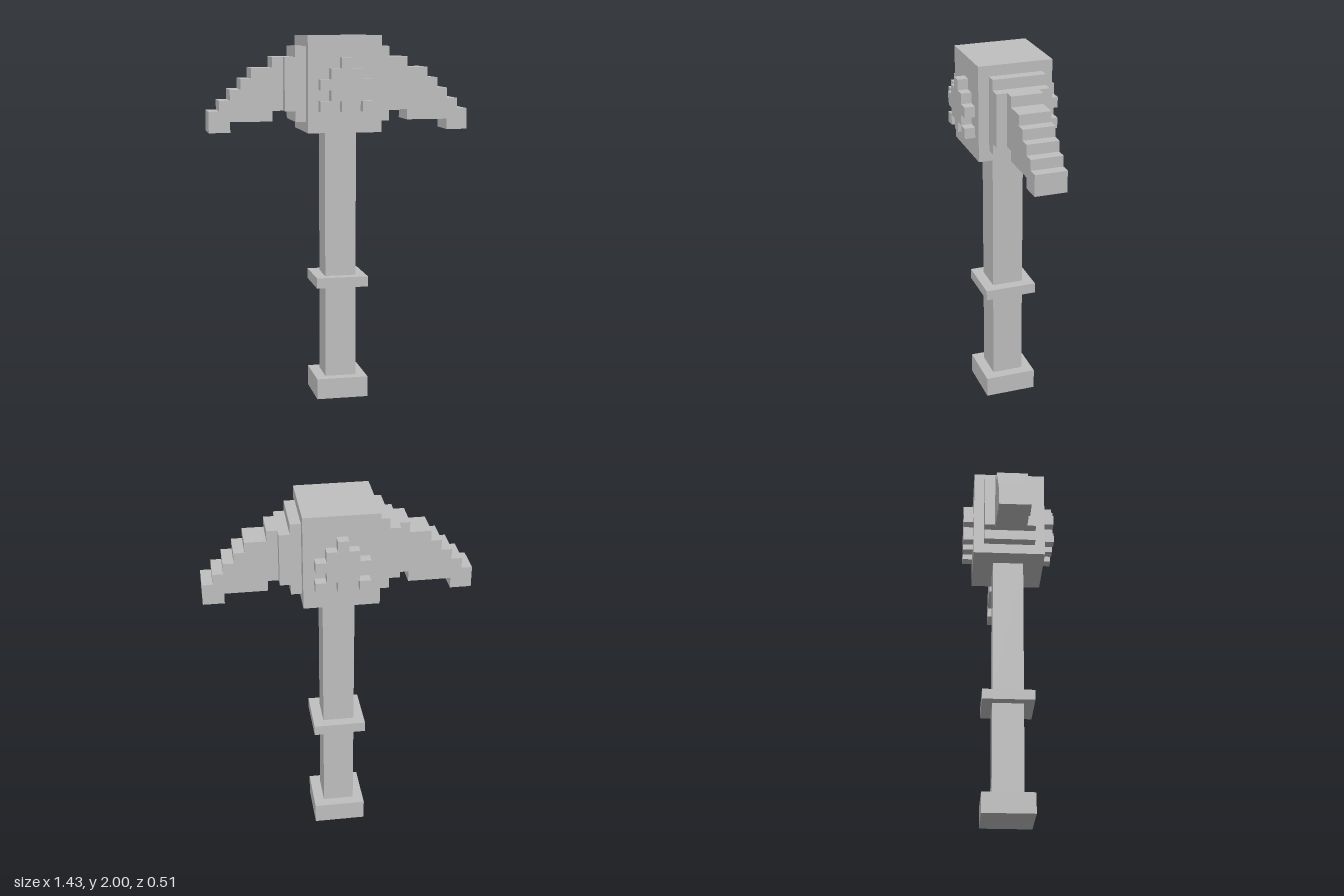
import * as THREE from 'three';

const U = 2 / 35; // one block unit

export function createModel() {
  const model = new THREE.Group();
  model.name = 'pickHammer';
  const stone = new THREE.MeshStandardMaterial({ color: 0xc0c0c0 });
  stone.name = 'stone grey';

  // Box centred on x, standing at block height y
  const box = (parent, name, w, h, d, x, y, z) => {
    const mesh = new THREE.Mesh(new THREE.BoxGeometry(w * U, h * U, d * U), stone);
    mesh.position.set(x * U, (y + h / 2) * U, z * U);
    mesh.name = name;
    parent.add(mesh);
  };

  // Stepped outline in block units, extruded from z0 to z1
  const slab = (parent, name, points, z0, z1) => {
    const shape = new THREE.Shape(points.map(([x, y]) => new THREE.Vector2(x * U, y * U)));
    const geo = new THREE.ExtrudeGeometry(shape, { depth: (z1 - z0) * U, bevelEnabled: false });
    geo.translate(0, 0, z0 * U);
    const mesh = new THREE.Mesh(geo, stone);
    mesh.name = name;
    parent.add(mesh);
  };

  // Handle, pommel, ring and head block
  box(model, 'pommel', 5, 2, 5, 0, 0, 0);
  box(model, 'lowerHandle', 3, 9, 3, 0, 2, 0);
  box(model, 'gripRing', 5, 1, 5, 0, 11, 0);
  box(model, 'upperHandle', 3, 14, 3, 0, 12, 0);
  box(model, 'headBlock', 7, 9, 7, 0, 26, 0);

  const shoulder = [[3.5, 27], [4.5, 27], [4.5, 28], [5.5, 28], [5.5, 33], [4.5, 33], [4.5, 34], [3.5, 34]];
  const blade = [
    [5.5, 28], [6.5, 28], [6.5, 27], [10.5, 27], [10.5, 26], [12.5, 26], [12.5, 28], [11.5, 28],
    [11.5, 29], [10.5, 29], [10.5, 30], [9.5, 30], [9.5, 31], [8.5, 31], [8.5, 32], [6.5, 32],
    [6.5, 33], [5.5, 33],
  ];
  // Right half of the emblem outline, bottom to top
  const half = [
    [0.5, 28], [0.5, 29], [1.5, 29], [1.5, 30], [2.5, 30], [2.5, 31], [1.5, 31], [1.5, 32],
    [0.5, 32], [0.5, 33],
  ];
  const emblem = [...half, ...half.map(([x, y]) => [-x, y]).reverse()];

  // Each half turn repeats one pick arm and one raised emblem
  ['left', 'right'].forEach((side, i) => {
    const arm = new THREE.Group();
    arm.name = side + 'PickArm';
    slab(arm, 'shoulder', shoulder, -2.5, 2.5);
    slab(arm, 'steppedBlade', blade, -1.5, 1.5);

    const badge = new THREE.Group();
    badge.name = i ? 'backEmblem' : 'frontEmblem';
    slab(badge, 'emblemBody', emblem, 3.5, 4.5);
    for (const x of [-2, 2]) box(badge, 'emblemStud', 1, 1, 1, x, 28, 4);

    arm.rotation.y = badge.rotation.y = i * Math.PI;
    model.add(arm, badge);
  });

  return model;
}
